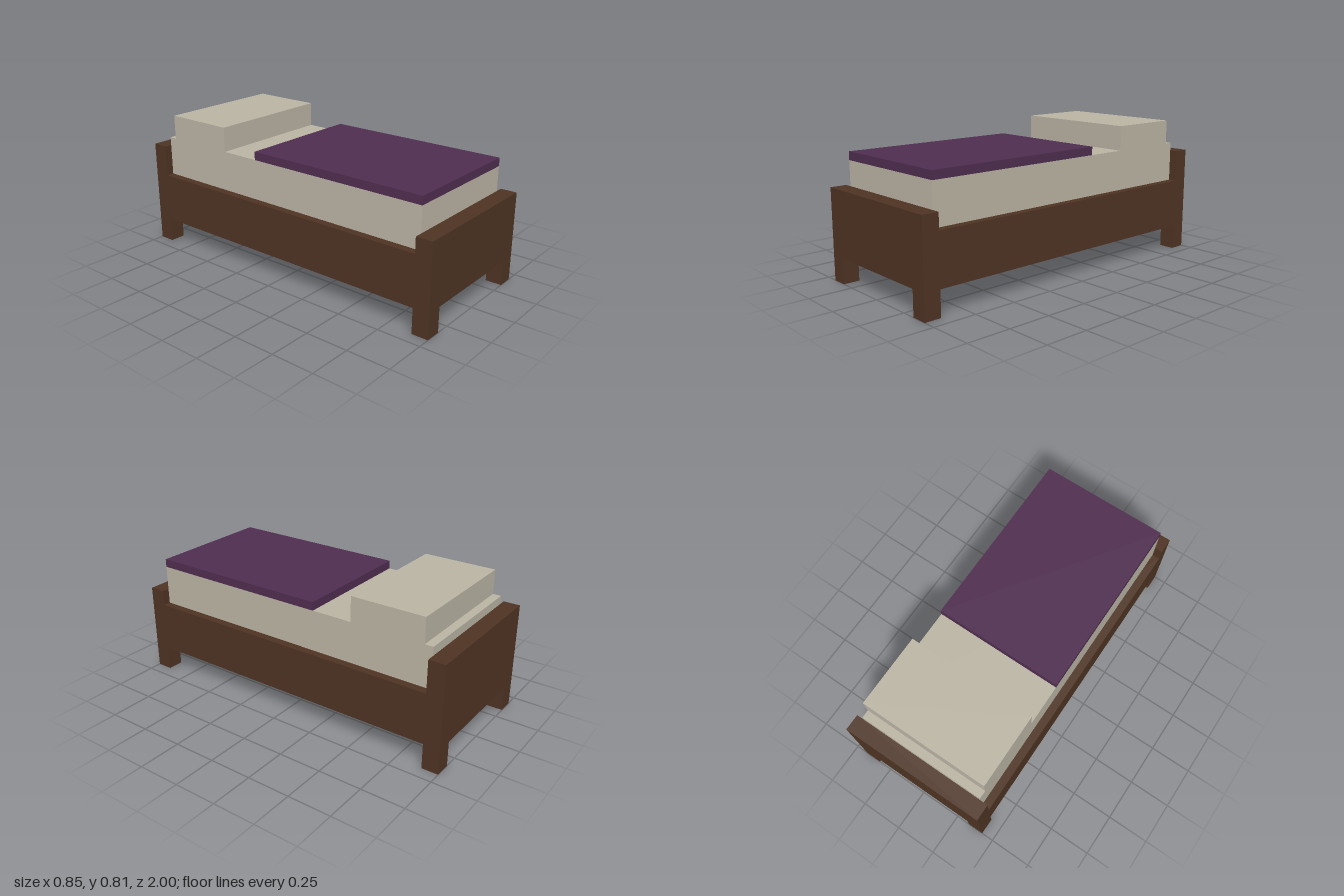
import * as THREE from 'three';

const material = (name, color) => {
  const m = new THREE.MeshStandardMaterial({ color });
  m.name = name;
  return m;
};

export function createModel() {
  const wood = material('dark wood', 0x4e3323);
  const linen = material('linen', 0xbab3a3);
  const plum = material('plum blanket', 0x4f2d4f);
  const bed = new THREE.Group();
  bed.name = 'bed';

  const add = (name, geometry, mat) => {
    const mesh = new THREE.Mesh(geometry, mat);
    mesh.name = name;
    bed.add(mesh);
    return mesh;
  };
  // Box given by its half width and its extents in y and z
  const block = (name, halfWidth, y0, y1, z0, z1, mat) =>
    add(name, new THREE.BoxGeometry(halfWidth * 2, y1 - y0, z1 - z0), mat)
      .position.set(0, (y0 + y1) / 2, (z0 + z1) / 2);

  // End board with its two square legs, cut from one outline
  const endBoard = (name, height, z) => {
    const w = 0.427, leg = 0.333, clear = 0.145;
    const outline = new THREE.Shape([
      [-w, 0], [-leg, 0], [-leg, clear], [leg, clear],
      [leg, 0], [w, 0], [w, height], [-w, height],
    ].map(([x, y]) => new THREE.Vector2(x, y)));
    add(name, new THREE.ExtrudeGeometry(outline, { depth: 0.095, bevelEnabled: false }), wood)
      .position.z = z;
  };
  endBoard('footboard', 0.525, 0.905);
  endBoard('headboard', 0.62, -1);

  // Base with side rails flush to the end boards
  block('bedFrame', 0.427, 0.145, 0.435, -0.905, 0.905, wood);

  // Bedding
  block('mattress', 0.381, 0.435, 0.668, -0.905, 0.905, linen);
  block('pillow', 0.381, 0.668, 0.811, -0.857, -0.429, linen);
  block('blanket', 0.381, 0.668, 0.716, -0.19, 0.905, plum);

  return bed;
}
